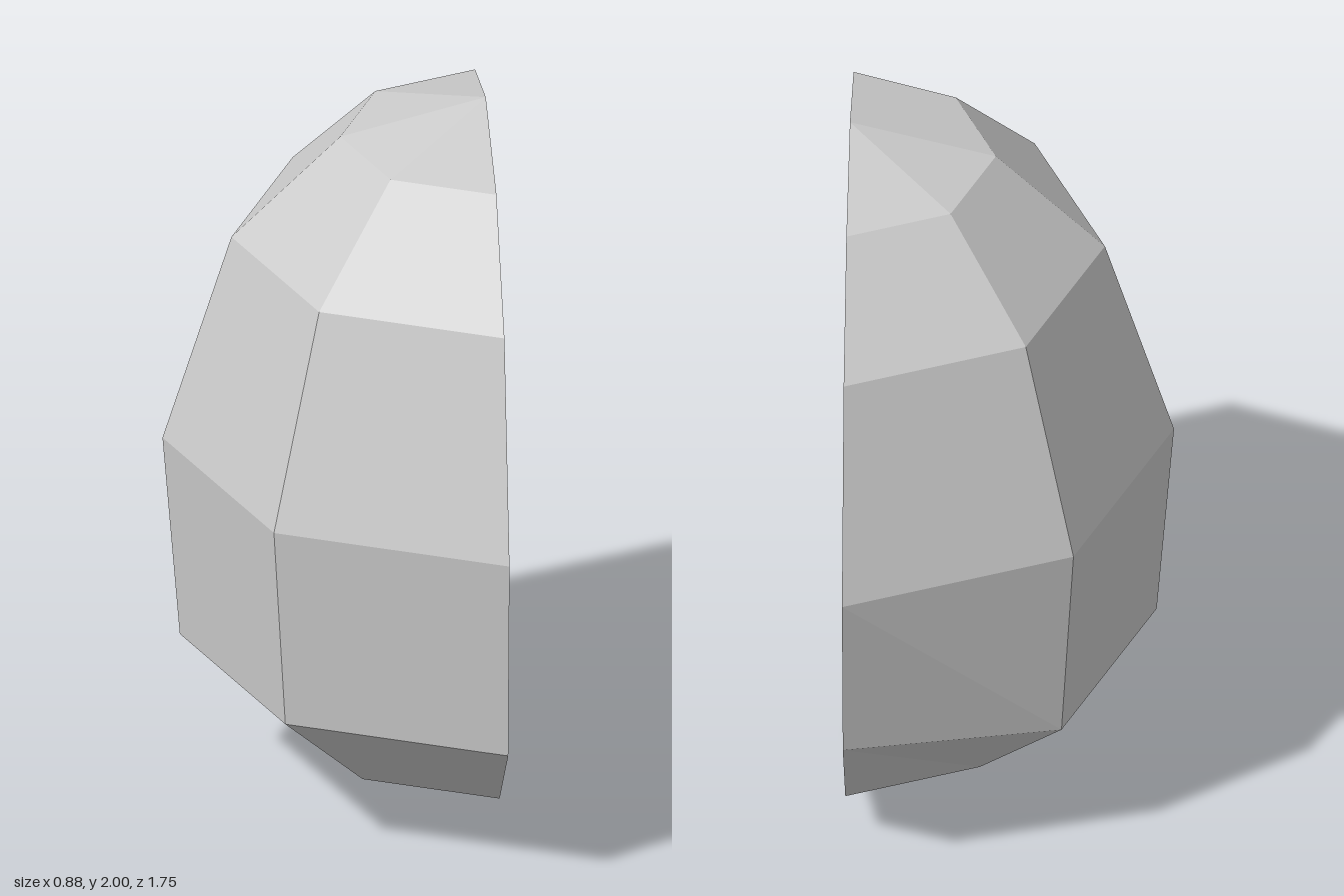
import * as THREE from 'three';

export function createModel() {
  const group = new THREE.Group();
  group.name = 'halfEgg';
  const material = new THREE.MeshStandardMaterial({ color: 0xcccccc, flatShading: true });
  const cutX = 0.438;

  // Profile from the bottom point to the top point: [radius, height]
  const profile = [[0, 0], [0.51, 0.14], [0.83, 0.42], [0.877, 1.01], [0.69, 1.605], [0.395, 1.895], [0, 2]]
    .map(([r, y]) => new THREE.Vector2(r, y));
  // One corner on the back rim is pushed inwards
  const dentIndex = 2;
  const dent = new THREE.Vector2(0.78, 0.475);

  // Faceted shell: half a turn in four segments, bulging to -x
  const shellGeometry = new THREE.LatheGeometry(profile, 4, Math.PI, Math.PI);
  shellGeometry.attributes.position.setXYZ(dentIndex, 0, dent.y, -dent.x);
  shellGeometry.computeVertexNormals();
  const shell = new THREE.Mesh(shellGeometry, material);
  shell.name = 'shell';
  shell.position.x = cutX;
  group.add(shell);

  // Flat cut face closing the shell, facing +x
  const backRim = profile.map((p, i) => (i === dentIndex ? dent : p));
  const frontRim = profile.slice(1, -1).reverse().map((p) => new THREE.Vector2(-p.x, p.y));
  const faceGeometry = new THREE.ShapeGeometry(new THREE.Shape([...backRim, ...frontRim]));
  faceGeometry.rotateY(Math.PI / 2);
  const cutFace = new THREE.Mesh(faceGeometry, material);
  cutFace.name = 'cutFace';
  cutFace.position.x = cutX;
  group.add(cutFace);

  return group;
}
